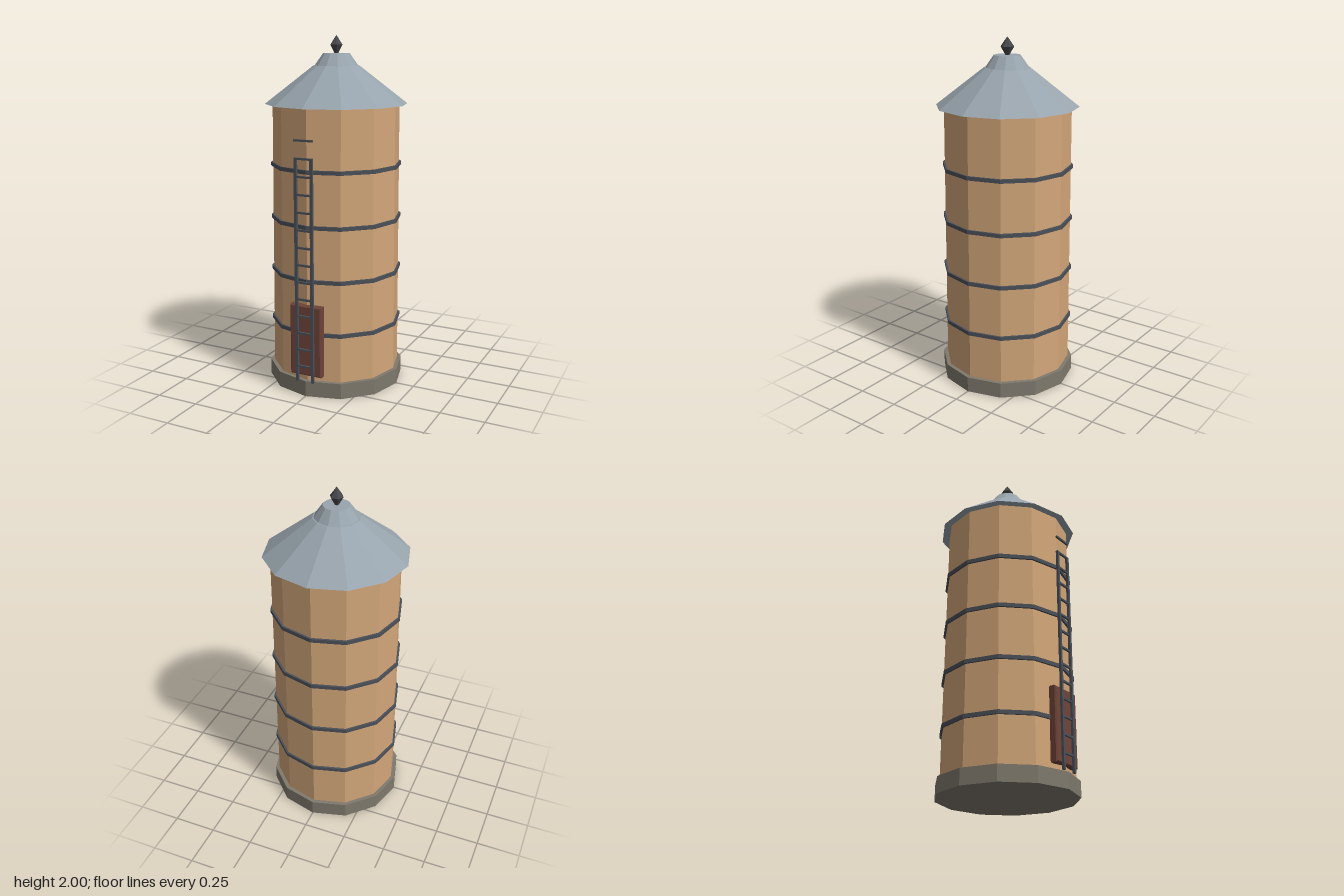
import * as THREE from 'three';

const mat = (name, color) => {
  const m = new THREE.MeshStandardMaterial({ color, flatShading: true });
  m.name = name;
  return m;
};

export function createModel() {
  const wood = mat('tan wood', 0xd2a679);
  const roofMetal = mat('roof grey', 0x98a4ad);
  const stone = mat('stone', 0x7f796d);
  const doorWood = mat('door brown', 0x6e4338);
  const steel = mat('band steel', 0x4b5058);
  const iron = mat('dark iron', 0x46474b);

  const model = new THREE.Group();
  model.name = 'silo';

  const add = (parent, name, geometry, material, x = 0, y = 0, z = 0) => {
    const mesh = new THREE.Mesh(geometry, material);
    mesh.name = name;
    mesh.position.set(x, y, z);
    parent.add(mesh);
    return mesh;
  };

  // Twelve-sided drum standing between two heights
  const drum = (name, rTop, rBottom, y0, y1, material) =>
    add(model, name, new THREE.CylinderGeometry(rTop, rBottom, y1 - y0, 12), material, 0, (y0 + y1) / 2, 0);

  drum('base', 0.393, 0.393, 0, 0.09, stone);
  drum('body', 0.36, 0.37, 0.09, 1.62, wood);
  drum('roof', 0.13, 0.404, 1.62, 1.832, roofMetal);
  drum('roofCap', 0.075, 0.123, 1.832, 1.9, roofMetal);

  // Hoops follow the slight taper of the body
  [0.365, 0.67, 0.975, 1.28].forEach((y) => {
    const r = 0.382 - 0.0065 * y;
    drum('hoop', r, r, y - 0.011, y + 0.011, steel);
  });

  // Six-sided finial
  const finialProfile = [[0.008, 1.895], [0.038, 1.946], [0, 2]].map(([r, y]) => new THREE.Vector2(r, y));
  add(model, 'finial', new THREE.LatheGeometry(finialProfile, 6, Math.PI / 6), iron);

  // Door slab with chamfered edges
  const b = 0.007, hw = 0.097 - b, hh = 0.206 - b;
  const outline = new THREE.Shape([[-hw, -hh], [hw, -hh], [hw, hh], [-hw, hh]].map(([x, y]) => new THREE.Vector2(x, y)));
  const slab = new THREE.ExtrudeGeometry(outline, {
    depth: 0.045 - 2 * b, bevelEnabled: true, bevelThickness: b, bevelSize: b, bevelSegments: 1,
  });
  add(model, 'door', slab, doorWood, 0, 0.329, 0.345 + b);

  // Ladder: two rails, and rungs that carry on above them
  const ladder = new THREE.Group();
  ladder.name = 'ladder';
  model.add(ladder);
  for (const side of [-1, 1]) {
    add(ladder, 'rail', new THREE.BoxGeometry(0.016, 1.27, 0.014), steel, side * 0.048, 0.725, 0.397);
  }
  for (let i = 0; i < 14; i++) {
    add(ladder, 'rung', new THREE.BoxGeometry(0.112, 0.011, 0.011), steel, 0, 0.18 + i * 0.098, 0.397);
  }

  return model;
}
